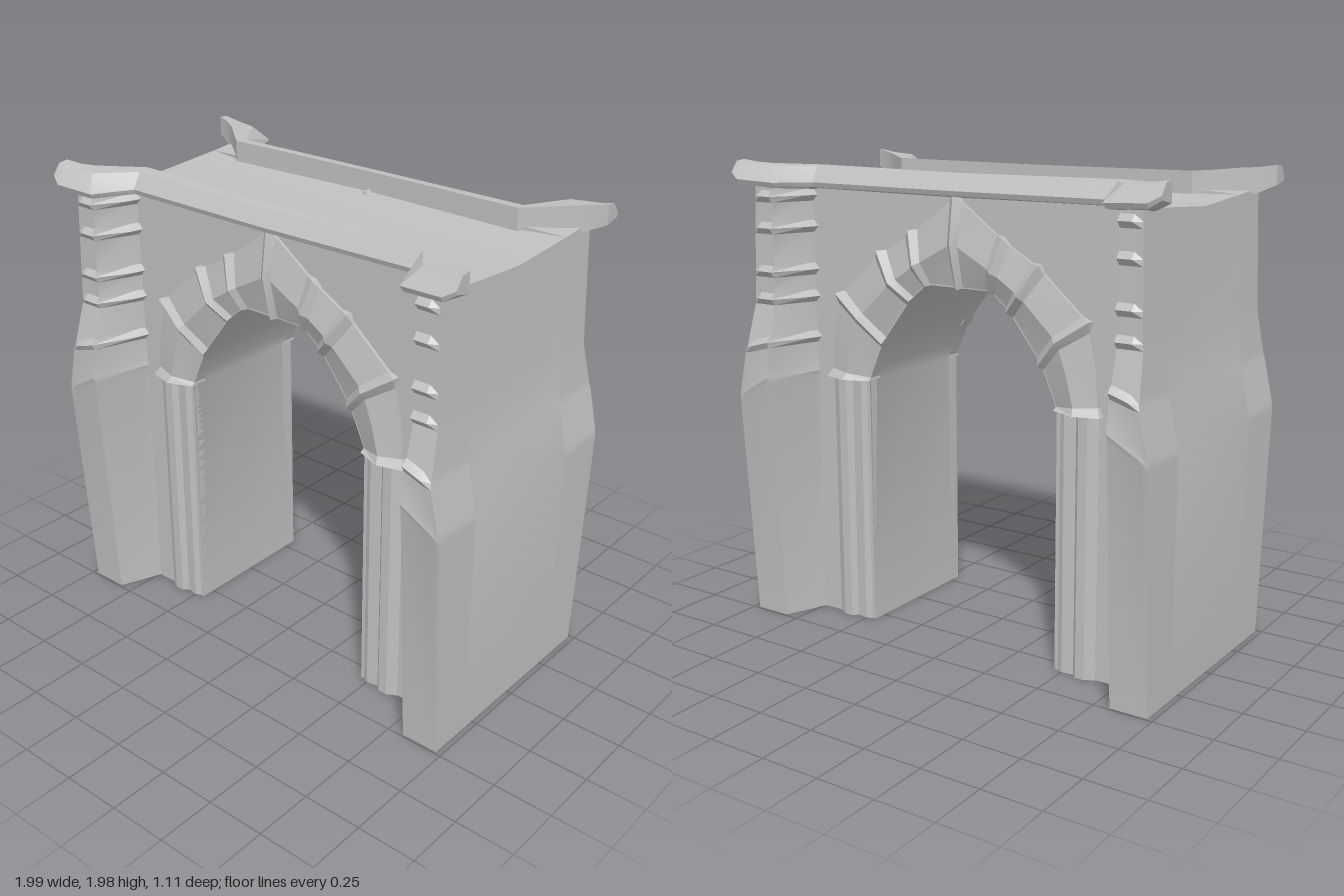
import * as THREE from 'three';
import { toCreasedNormals } from 'three/addons/utils/BufferGeometryUtils.js';

const stone = new THREE.MeshStandardMaterial({ color: 0xc0c0c0 });
stone.name = 'pale grey stone';

const WALL_Z = 0.31;

function mesh(geometry, name) {
  const m = new THREE.Mesh(toCreasedNormals(geometry, 0.4), stone);
  m.name = name;
  return m;
}

// Closed solid through a list of rings of [x, y, z]; faces always point outward
function loft(rings, name) {
  const n = rings[0].length, pts = rings.flat(), tris = [];
  for (let i = 0; i < rings.length - 1; i++) {
    for (let j = 0; j < n; j++) {
      const a = i * n + j, b = i * n + (j + 1) % n;
      tris.push([a, b, b + n], [a, b + n, a + n]);
    }
  }
  const last = (rings.length - 1) * n;
  for (let j = 1; j < n - 1; j++) {
    tris.push([0, j + 1, j], [last, last + j, last + j + 1]);
  }
  const v = pts.map(p => new THREE.Vector3(...p));
  let volume = 0;
  for (const [a, b, c] of tris) volume += v[a].dot(v[b].clone().cross(v[c]));
  const g = new THREE.BufferGeometry();
  g.setAttribute('position', new THREE.Float32BufferAttribute(pts.flat(), 3));
  g.setIndex(tris.flatMap(([a, b, c]) => (volume < 0 ? [a, c, b] : [a, b, c])));
  return mesh(g, name);
}

const lerp = (a, b, t) => a + (b - a) * t;
const table = rows => y => {
  for (let i = 1; i < rows.length; i++) {
    const [y0, v0] = rows[i - 1], [y1, v1] = rows[i];
    if (y <= y1) return lerp(v0, v1, (y - y0) / (y1 - y0));
  }
  return rows[rows.length - 1][1];
};

// Outline of the gate: half width and pillar depth by height
const SIDE = [[0, 0.975], [0.98, 0.982], [1.2, 0.935], [1.4, 0.92], [1.865, 0.905]];
const halfWidth = table(SIDE);
const pillarZ = table([[0, 0.49], [1.14, 0.553], [1.38, 0.49], [1.88, 0.482]]);

// Arch stones: outer, middle and inner edge points, and whether a joint sits there
const ARCH = [
  [[0.65, 1.07], [0.56, 1.07], [0.46, 1.07], true],
  [[0.635, 1.25], [0.525, 1.21], [0.435, 1.13], false],
  [[0.60, 1.42], [0.48, 1.34], [0.385, 1.24], true],
  [[0.38, 1.61], [0.31, 1.50], [0.24, 1.43], true],
  [[0.22, 1.70], [0.185, 1.58], [0.155, 1.50], true],
  [[0, 1.86], [0, 1.68], [0, 1.50], true],
];

// Wall slab with the arched passage; the roof dips along the middle
function makeWall() {
  const right = [...ARCH.map(s => s[2])].reverse();
  right.push([0.46, 0]);
  SIDE.forEach(([y, x]) => right.push([x, y]));
  const left = right.slice(1).reverse().map(([x, y]) => [-x, y]);
  const shape = new THREE.Shape([...right, ...left].map(p => new THREE.Vector2(...p)));
  const g = new THREE.ExtrudeGeometry(shape, { depth: 2 * WALL_Z, steps: 2, bevelEnabled: false });
  g.translate(0, 0, -WALL_Z);
  const p = g.attributes.position;
  for (let i = 0; i < p.count; i++) {
    if (p.getY(i) > 1.86 && Math.abs(p.getZ(i)) < 0.01) p.setY(i, 1.845);
  }
  return mesh(g, 'wall');
}

// Corner pillar with swelling base, sloped shoulder and wedge-shaped stone joints
function makePillar(side) {
  const ring = (yo, yi, o, topDrop = 0) => {
    const x = halfWidth(yo), zo = pillarZ(yo), zi = pillarZ(yi);
    return [
      [x, yo - topDrop, WALL_Z], [x, yo, zo], [x - 0.035, lerp(yo, yi, 0.2), zo + o],
      [0.815, yi, zi + o], [0.755 - o, yi, 0.345 + o], [0.73 - o, yi, 0.28],
    ].map(([px, y, z]) => [px * side, y, z]);
  };
  const rings = [ring(0, 0, 0)];
  const joints = [[0.985, 1.08], [1.2, 1.23], [1.405, 1.405], [1.52, 1.52], [1.70, 1.70], [1.83, 1.83]];
  joints.forEach(([yo, yi], k) => {
    const o = k === 0 ? 0.006 : 0.02;
    rings.push(ring(yo - 0.025, yi - 0.025, 0), ring(yo, yi, o), ring(yo + 0.025, yi + 0.025, 0));
  });
  rings.push(ring(1.88, 1.88, 0, 0.015));
  return loft(rings, side > 0 ? 'leftPillar' : 'rightPillar');
}

// Moulded jamb below the arch stones
function makeJamb(side) {
  const profile = [
    [0.65, 0.25], [0.65, 0.312], [0.61, 0.335], [0.57, 0.335], [0.55, 0.314],
    [0.5, 0.322], [0.46, 0.302], [0.46, 0.25],
  ];
  const rings = [0, 1.07].map(y => profile.map(([x, z]) => [x * side, y, z]));
  return loft(rings, side > 0 ? 'leftJamb' : 'rightJamb');
}

// Two-faced band of arch stones with raised joints
function makeArchBand() {
  const mirrored = ARCH.slice(0, -1).reverse().map(([o, m, i, j]) => [...[o, m, i].map(([x, y]) => [-x, y]), j]);
  const stations = [...ARCH, ...mirrored];
  const ring = ([o, m, i], e) => {
    const push = (p, d) => {
      const l = Math.hypot(p[0] - m[0], p[1] - m[1]);
      return [p[0] + (p[0] - m[0]) / l * d, p[1] + (p[1] - m[1]) / l * d];
    };
    const po = push(o, e * 0.8), pi = push(i, e * 0.3);
    return [[...po, 0.25], [...po, 0.322 + e], [...m, 0.35 + e], [...pi, 0.308 + e], [...pi, 0.25]];
  };
  const toward = (a, b) => {
    const t = 0.028 / Math.hypot(a[1][0] - b[1][0], a[1][1] - b[1][1]);
    return [0, 1, 2].map(k => [lerp(a[k][0], b[k][0], t), lerp(a[k][1], b[k][1], t)]);
  };
  const rings = [];
  stations.forEach((s, k) => {
    if (s[3] && k > 0) rings.push(ring(toward(s, stations[k - 1]), 0));
    rings.push(ring(s, s[3] ? 0.02 : 0));
    if (s[3] && k < stations.length - 1) rings.push(ring(toward(s, stations[k + 1]), 0));
  });
  return loft(rings, 'archStones');
}

// Cornice that steps out around the pillars and flares at its ends
function makeCornice() {
  // outer x, outer z, inner x, inner z, bottom y, top y
  const half = [
    [0.995, 0.525, 0.995, 0.45, 1.91, 1.97],
    [0.95, 0.545, 0.93, 0.43, 1.88, 1.96],
    [0.77, 0.53, 0.88, 0.40, 1.87, 1.955],
    [0.70, 0.362, 0.72, 0.262, 1.865, 1.947],
    [0, 0.372, 0, 0.285, 1.865, 1.942],
  ];
  const stations = [...half, ...half.slice(0, -1).reverse().map(([a, b, c, d, e, f]) => [-a, b, -c, d, e, f])];
  const rings = stations.map(([xo, zo, xi, zi, yb, yt]) =>
    [[0.08, yb], [0, lerp(yb, yt, 0.25)], [0.45, yt], [1, yt + 0.005], [1, yb - 0.015]]
      .map(([t, y]) => [lerp(xo, xi, t), y, lerp(zo, zi, t)]));
  return loft(rings, 'cornice');
}

export function createModel() {
  const model = new THREE.Group();
  model.name = 'stoneGate';
  model.add(makeWall());
  const front = new THREE.Group();
  front.name = 'frontFacade';
  for (const side of [1, -1]) front.add(makePillar(side), makeJamb(side));
  front.add(makeArchBand(), makeCornice());
  const back = front.clone();
  back.name = 'backFacade';
  back.rotation.y = Math.PI;
  model.add(front, back);
  return model;
}
